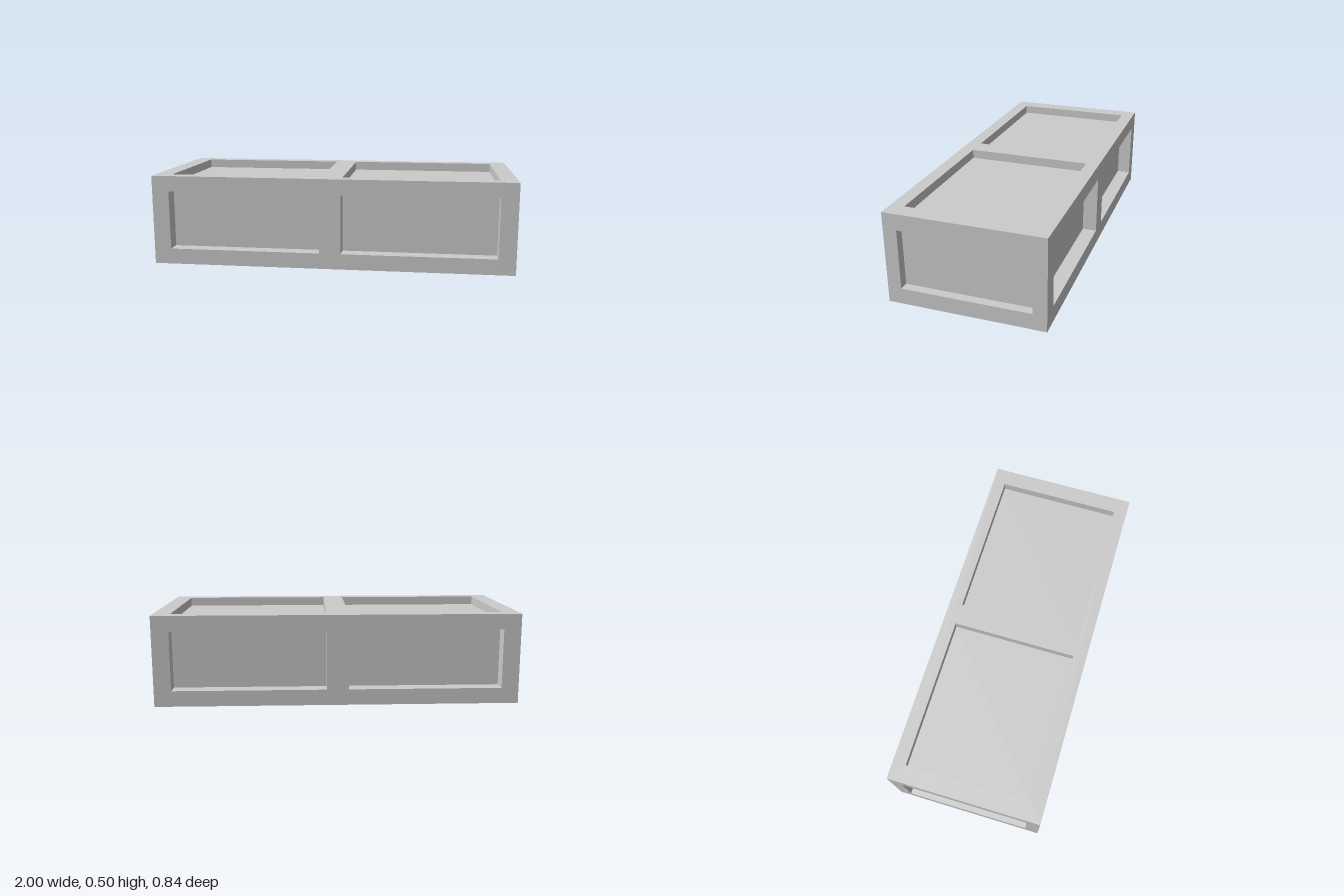
import * as THREE from 'three';
import { mergeGeometries } from 'three/addons/utils/BufferGeometryUtils.js';

const W = 2, H = 0.5, D = 0.842;
const material = new THREE.MeshStandardMaterial({ color: 0xcccccc });

// Frame of one side, facing +z, with recessed panels of w x h at the given centres
function panelledSide(name, width, height, centres, w, h, depth) {
  const frame = new THREE.Shape();
  const rect = (path, cx, cy, rw, rh) => path
    .moveTo(cx - rw / 2, cy - rh / 2).lineTo(cx + rw / 2, cy - rh / 2)
    .lineTo(cx + rw / 2, cy + rh / 2).lineTo(cx - rw / 2, cy + rh / 2).closePath();
  rect(frame, 0, 0, width, height);
  const parts = [];
  for (const cx of centres) {
    const hole = new THREE.Path();
    rect(hole, cx, 0, w, h);
    frame.holes.push(hole);
    // Recess floor
    parts.push(new THREE.PlaneGeometry(w, h).translate(cx, 0, -depth));
    // Recess walls, facing inwards
    for (const s of [-1, 1]) {
      parts.push(new THREE.PlaneGeometry(depth, h).rotateY(-s * Math.PI / 2)
        .translate(cx + s * w / 2, 0, -depth / 2));
      parts.push(new THREE.PlaneGeometry(w, depth).rotateX(s * Math.PI / 2)
        .translate(cx, s * h / 2, -depth / 2));
    }
  }
  parts.push(new THREE.ShapeGeometry(frame));
  const mesh = new THREE.Mesh(mergeGeometries(parts), material);
  mesh.name = name;
  return mesh;
}

export function createModel() {
  const group = new THREE.Group();
  group.name = 'panelledBox';
  const pw = 0.845, ph = 0.326, pd = 0.694; // panel width, height, depth
  const pair = [-0.483, 0.483];

  for (const s of [1, -1]) {
    // Front and back
    const face = panelledSide(s > 0 ? 'frontSide' : 'backSide', W, H, pair, pw, ph, 0.08);
    face.position.set(0, H / 2, s * D / 2);
    face.rotation.y = s > 0 ? 0 : Math.PI;

    // Left and right ends
    const end = panelledSide(s > 0 ? 'leftEnd' : 'rightEnd', D, H, [0], pd, ph, 0.05);
    end.position.set(s * W / 2, H / 2, 0);
    end.rotation.y = s * Math.PI / 2;

    // Top and bottom
    const lid = panelledSide(s > 0 ? 'top' : 'bottom', W, D, pair, pw, pd, 0.05);
    lid.position.y = s > 0 ? H : 0;
    lid.rotation.x = -s * Math.PI / 2;

    group.add(face, end, lid);
  }
  return group;
}
